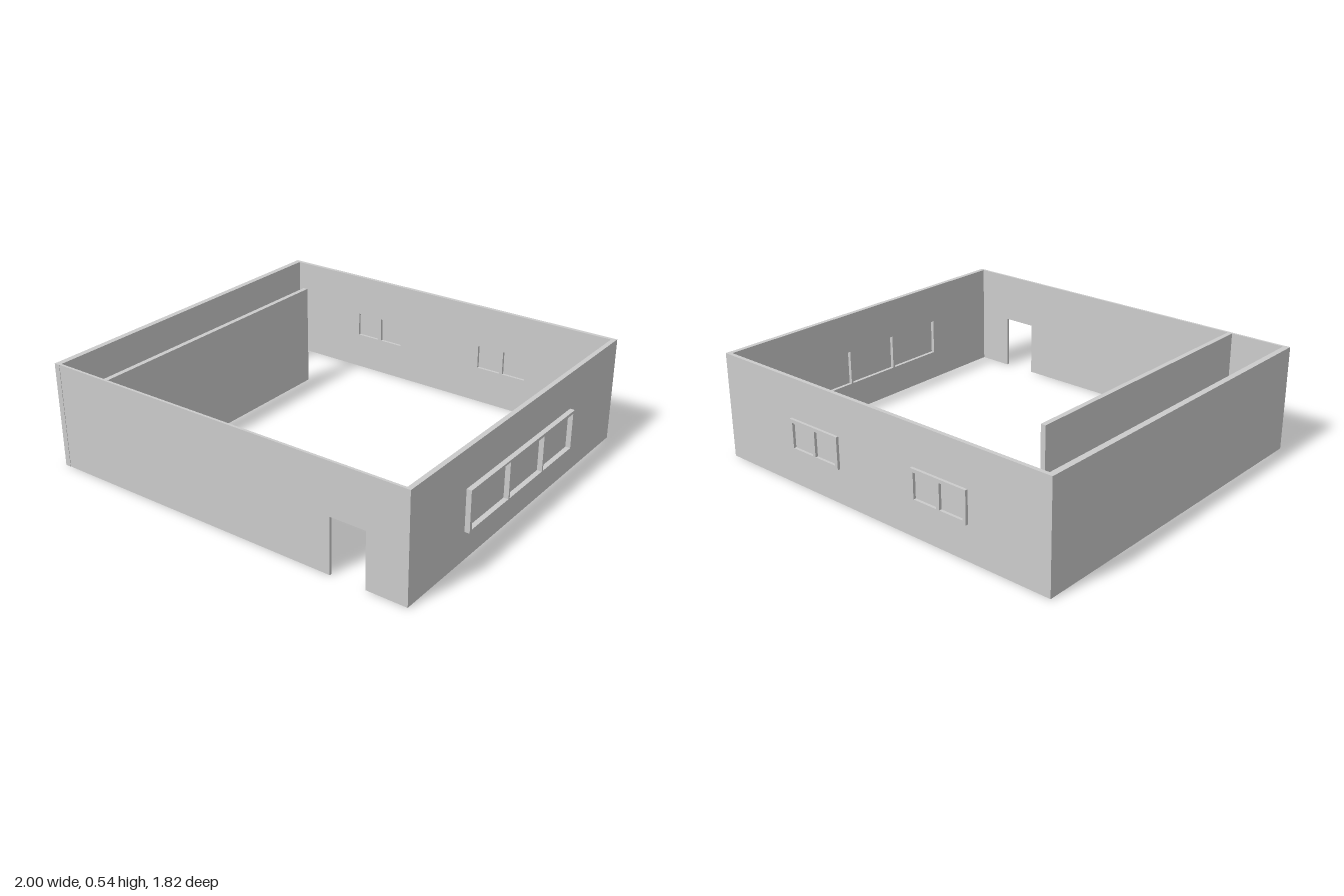
import * as THREE from 'three';

const H = 0.535; // wall height
const material = new THREE.MeshStandardMaterial({ color: 0xcccccc });

const corners = (a, b, lo, hi) => [[a, lo], [b, lo], [b, hi], [a, hi]].map(p => new THREE.Vector2(...p));

// Panel drawn in (along, up), given a thickness, with rectangular holes [a, b, lo, hi]
function panel(name, outline, holes, thickness, offset = 0) {
  const shape = new THREE.Shape(outline);
  for (const h of holes) shape.holes.push(new THREE.Path(corners(...h)));
  const geometry = new THREE.ExtrudeGeometry(shape, { depth: thickness, bevelEnabled: false });
  geometry.translate(0, 0, offset);
  const mesh = new THREE.Mesh(geometry, material);
  mesh.name = name;
  return mesh;
}

function box(name, x0, x1, z0, z1) {
  const mesh = new THREE.Mesh(new THREE.BoxGeometry(x1 - x0, H, z1 - z0), material);
  mesh.position.set((x0 + x1) / 2, H / 2, (z0 + z1) / 2);
  mesh.name = name;
  return mesh;
}

// Wall with windows: local z = 0 is the outer face, +z goes inward
function windowWall(name, from, to, thickness, proud, windows) {
  const group = new THREE.Group();
  group.name = name;
  const allPanes = windows.flatMap(w => w.panes);
  group.add(panel(name + 'Panel', corners(from, to, 0, H), allPanes, thickness));
  for (const w of windows) {
    group.add(panel('windowFrame', corners(...w.outer), w.panes, proud, -proud));
    for (const p of w.panes) group.add(panel('windowPane', corners(...p), [], 0.006));
  }
  return group;
}

export function createModel() {
  const model = new THREE.Group();
  model.name = 'roomShell';

  // Plain walls
  model.add(box('rightWall', -1, -0.97, -0.88, 0.91));
  model.add(box('partitionWall', -0.69, -0.665, -0.56, 0.895));

  // Front wall with a doorway cut up from the floor
  const outline = [[-0.97, 0], [0.59, 0], [0.59, 0.28], [0.77, 0.28], [0.77, 0],
    [0.975, 0], [0.975, H], [-0.97, H]].map(p => new THREE.Vector2(...p));
  const front = panel('frontWall', outline, [], 0.013);
  front.position.z = 0.895;
  model.add(front);

  // Back wall with two double windows
  const doubles = [-0.41, 0.36].map(c => ({
    outer: [c - 0.157, c + 0.157, 0.175, 0.335],
    panes: [[c - 0.14, c - 0.009, 0.192, 0.318], [c + 0.009, c + 0.14, 0.192, 0.318]],
  }));
  const back = windowWall('backWall', -1, 0.975, 0.02, 0.014, doubles);
  back.position.z = -0.9;
  model.add(back);

  // Side wall with one wide triple window
  const triple = {
    outer: [-0.433, 0.49, 0.141, 0.346],
    panes: [[0.166, 0.473, 0.153, 0.336], [-0.138, 0.156, 0.153, 0.332], [-0.418, -0.148, 0.153, 0.332]],
  };
  const side = windowWall('leftWall', -0.88, 0.895, 0.024, 0.025, [triple]);
  side.rotation.y = -Math.PI / 2;
  side.position.x = 0.975;
  model.add(side);

  return model;
}
